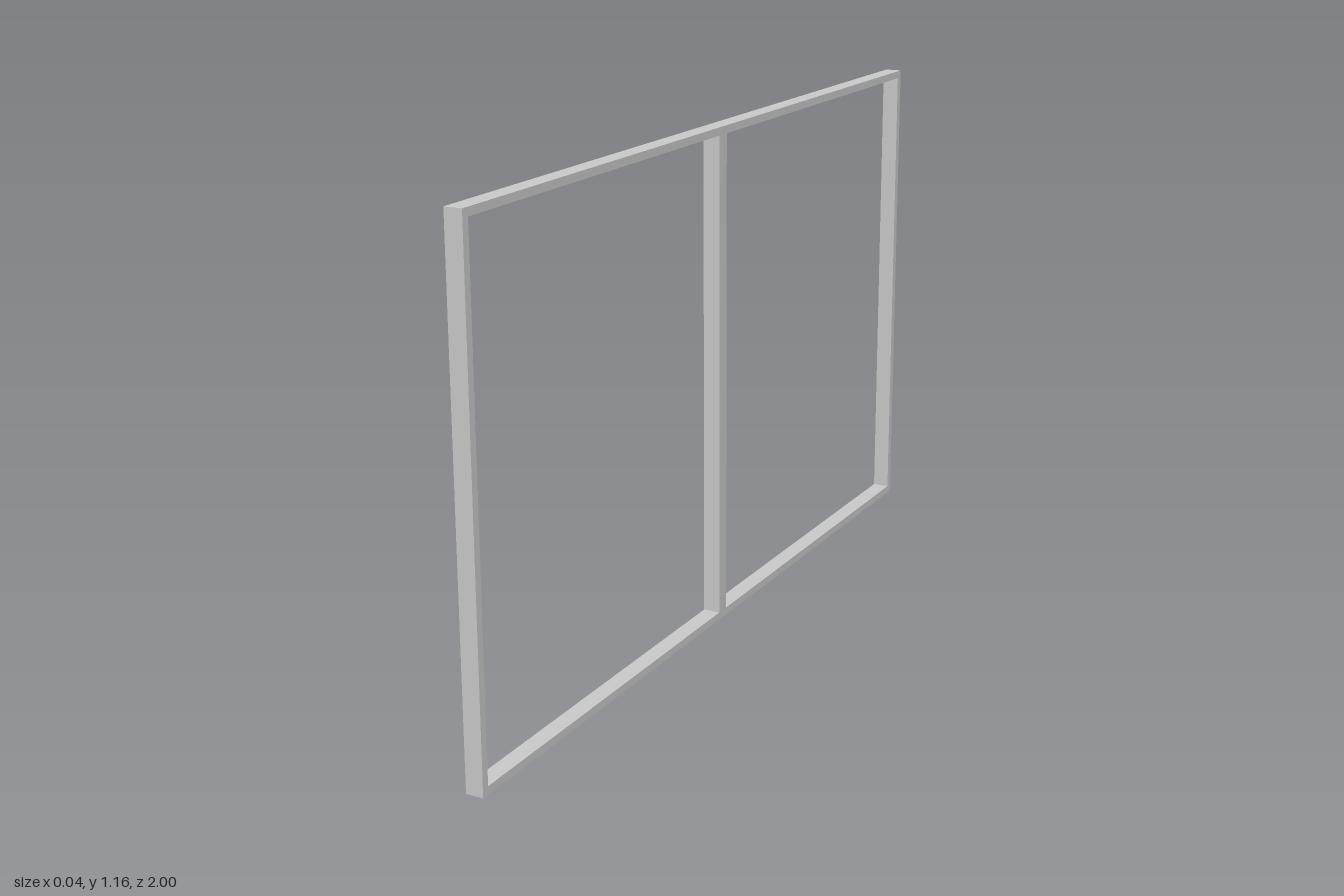
import * as THREE from 'three';

const LENGTH = 2, HEIGHT = 1.16, DEPTH = 0.04, BAR = 0.018, MULLION = 0.034;

export function createModel() {
  const group = new THREE.Group();
  const material = new THREE.MeshStandardMaterial({ color: 0xcccccc, flatShading: true });

  const addBar = (name, height, length, y, z) => {
    const bar = new THREE.Mesh(new THREE.BoxGeometry(DEPTH, height, length), material);
    bar.name = name;
    bar.position.set(0, y, z);
    group.add(bar);
  };

  // Rails run the full length
  addBar('bottomRail', BAR, LENGTH, BAR / 2, 0);
  addBar('topRail', BAR, LENGTH, HEIGHT - BAR / 2, 0);

  // Uprights fit between the rails
  const inner = HEIGHT - 2 * BAR;
  addBar('frontPost', inner, BAR, HEIGHT / 2, (LENGTH - BAR) / 2);
  addBar('backPost', inner, BAR, HEIGHT / 2, -(LENGTH - BAR) / 2);
  addBar('centreMullion', inner, MULLION, HEIGHT / 2, 0);

  return group;
}
